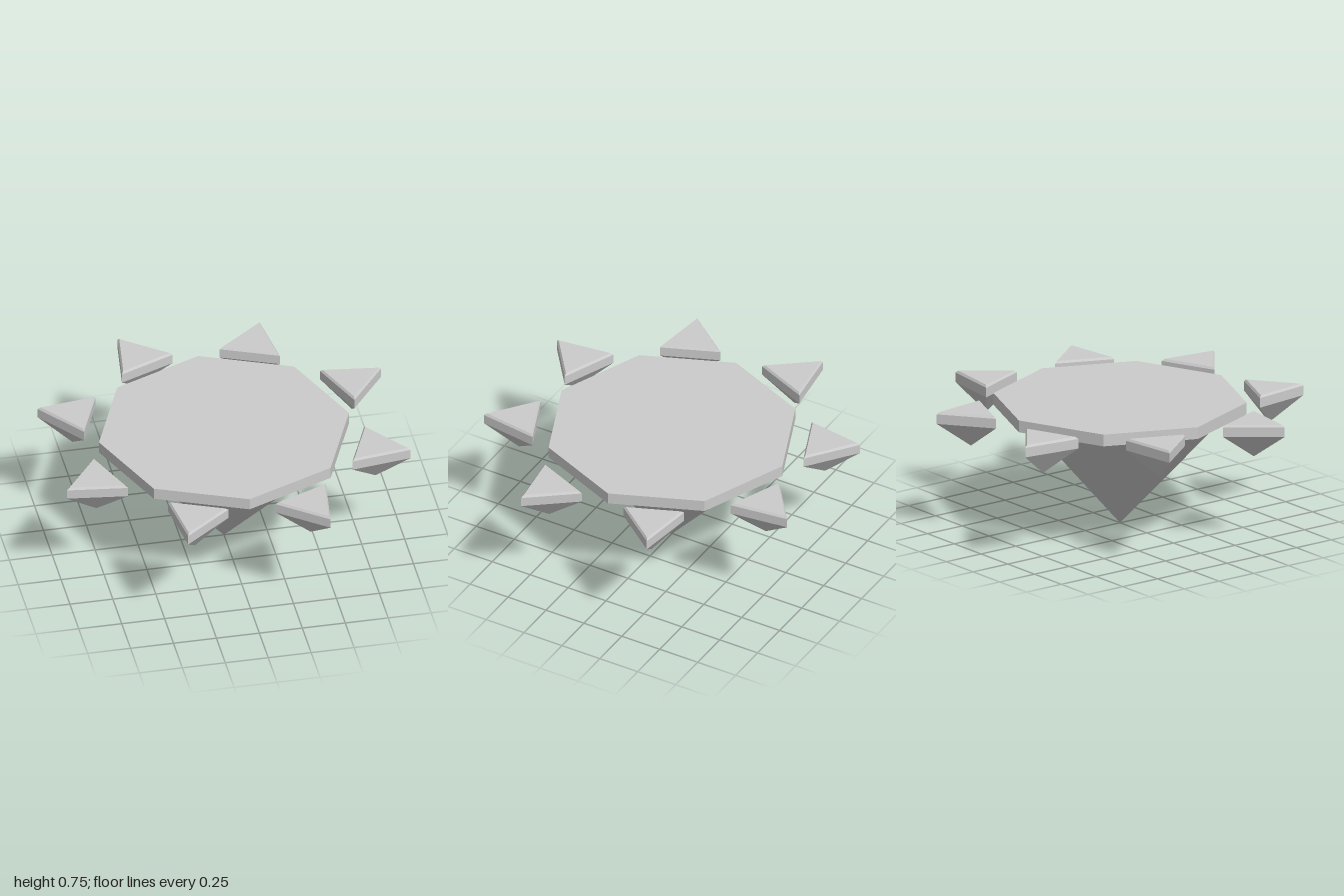
import * as THREE from 'three';

const material = new THREE.MeshStandardMaterial({ color: 0xcccccc, flatShading: true });
const TOP = 0.745, RIM = 0.675; // upper face and underside of the flat slabs

// Faceted solid: [radius, height] profile from bottom to top, turned with few sides
function facetedSolid(name, sides, profile) {
  const points = profile.map(([r, y]) => new THREE.Vector2(r, y));
  const mesh = new THREE.Mesh(new THREE.LatheGeometry(points, sides), material);
  mesh.name = name;
  return mesh;
}

export function createModel() {
  const model = new THREE.Group();
  model.name = 'gemWithShards';

  // Octagonal slab with a slightly narrower pointed cone beneath it
  model.add(facetedSolid('tableSlab', 8, [[0, RIM], [0.728, RIM], [0.728, TOP], [0, TOP]]));
  model.add(facetedSolid('pavilionCone', 8, [[0, 0], [0.625, RIM], [0, RIM]]));

  // Ring of eight triangular shards, each with a corner facing outward
  const shards = new THREE.Group();
  shards.name = 'shardRing';
  for (let i = 0; i < 8; i++) {
    const angle = (i + 0.5) * Math.PI / 4;
    const shard = facetedSolid('shard', 3,
      [[0, 0.53], [0.202, RIM], [0.202, 0.732], [0.184, TOP], [0, TOP]]);
    shard.position.set(0.8805 * Math.sin(angle), 0, 0.8805 * Math.cos(angle));
    shard.rotation.y = angle;
    shards.add(shard);
  }
  model.add(shards);
  return model;
}
